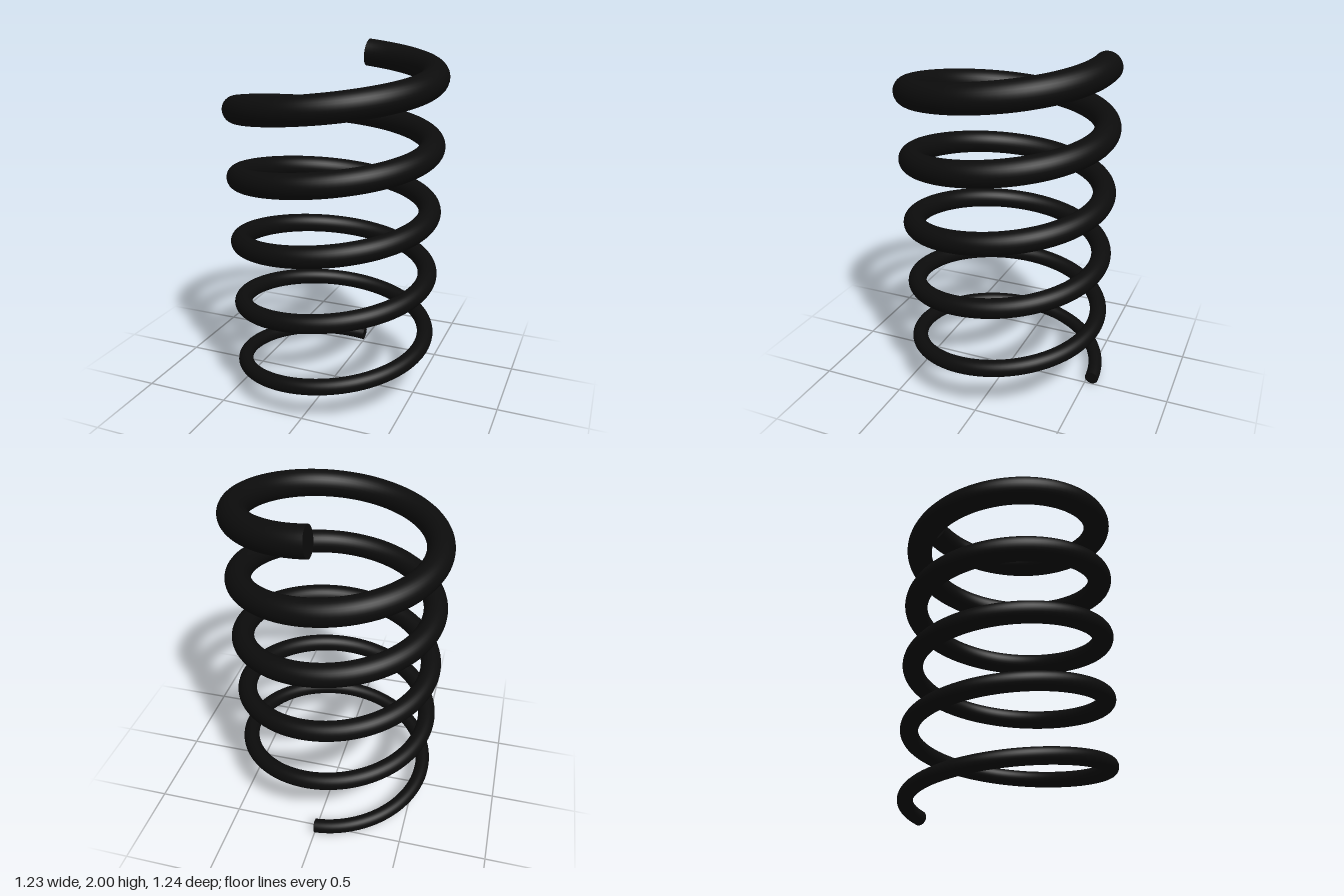
import * as THREE from 'three';

const TURNS = 5, COIL = 0.54, R0 = 0.04, R1 = 0.08, SIDES = 32, STEPS = 480;
const Y0 = R0, Y1 = 2 - R1;

// Position, wire radius and local frame along the coil, t from 0 (bottom) to 1 (top)
function frameAt(t) {
  const a = t * TURNS * Math.PI * 2;
  const out = new THREE.Vector3(-Math.sin(a), 0, -Math.cos(a));
  const centre = out.clone().multiplyScalar(COIL).setY(Y0 + (Y1 - Y0) * t);
  const rise = (Y1 - Y0) / (TURNS * Math.PI * 2);
  const tangent = new THREE.Vector3(-Math.cos(a) * COIL, rise, Math.sin(a) * COIL).normalize();
  const side = tangent.clone().cross(out);
  return { centre, out, side, tangent, radius: R0 + (R1 - R0) * t };
}

// Round wire that thickens steadily from bottom to top
function coilGeometry() {
  const pos = [], nor = [], idx = [];
  for (let i = 0; i <= STEPS; i++) {
    const f = frameAt(i / STEPS);
    for (let j = 0; j <= SIDES; j++) {
      const b = (j / SIDES) * Math.PI * 2;
      const n = f.out.clone().multiplyScalar(Math.cos(b)).addScaledVector(f.side, Math.sin(b));
      const p = f.centre.clone().addScaledVector(n, f.radius);
      pos.push(p.x, p.y, p.z);
      nor.push(n.x, n.y, n.z);
      if (i < STEPS && j < SIDES) {
        const k = i * (SIDES + 1) + j, m = k + SIDES + 1;
        idx.push(k, k + 1, m + 1, k, m + 1, m);
      }
    }
  }
  const g = new THREE.BufferGeometry();
  g.setAttribute('position', new THREE.Float32BufferAttribute(pos, 3));
  g.setAttribute('normal', new THREE.Float32BufferAttribute(nor, 3));
  g.setIndex(idx);
  return g;
}

export function createModel() {
  const group = new THREE.Group();
  group.name = 'coilSpring';
  const material = new THREE.MeshStandardMaterial({ color: 0x0c0c0c });

  const coil = new THREE.Mesh(coilGeometry(), material);
  coil.name = 'coil';
  group.add(coil);

  // Flat discs closing both cut ends of the wire
  for (const [name, t, dir] of [['bottomEndCap', 0, -1], ['topEndCap', 1, 1]]) {
    const f = frameAt(t);
    const cap = new THREE.Mesh(new THREE.CircleGeometry(f.radius, SIDES), material);
    cap.name = name;
    cap.position.copy(f.centre);
    cap.lookAt(f.centre.clone().addScaledVector(f.tangent, dir));
    group.add(cap);
  }
  return group;
}
